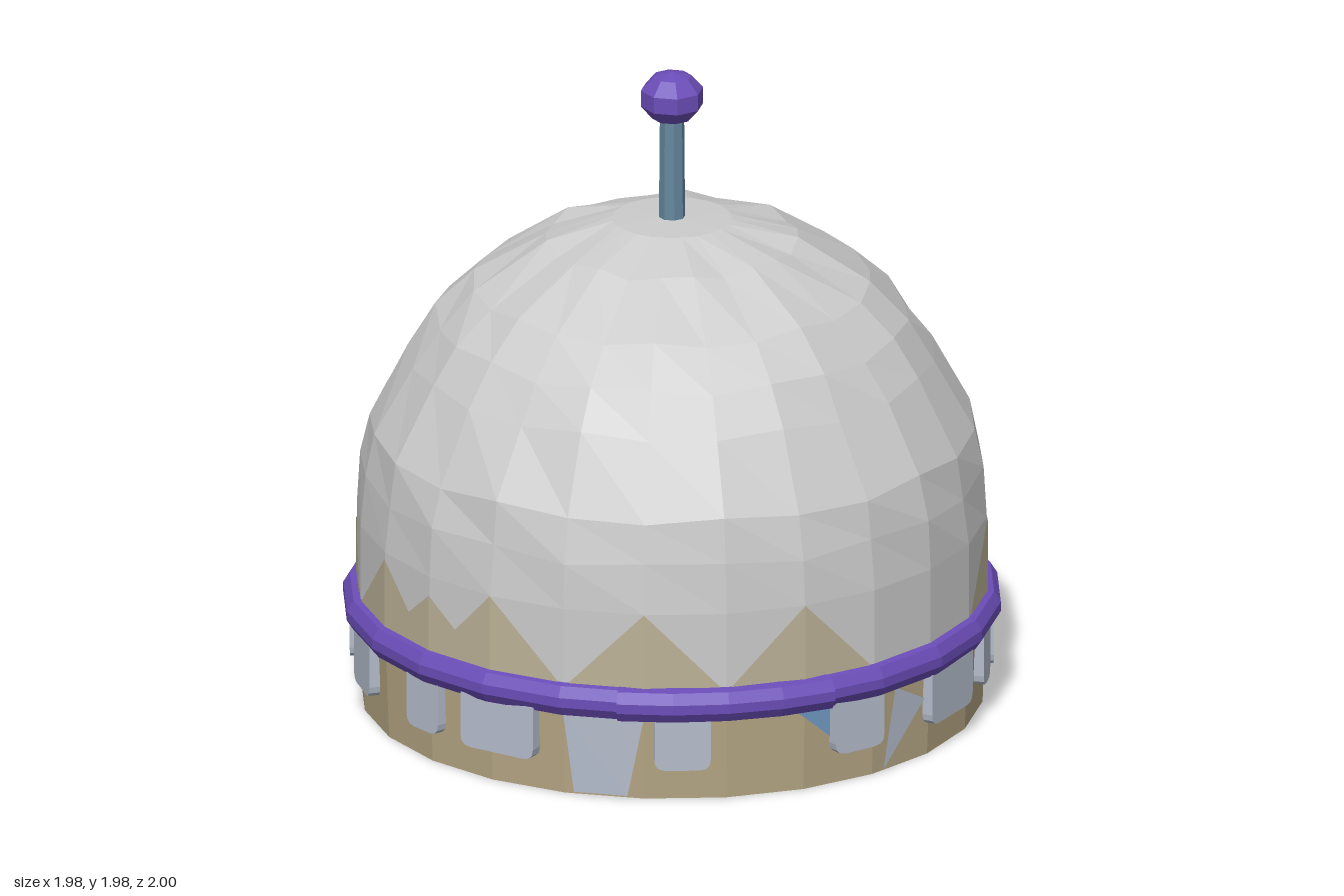
import * as THREE from 'three';

const mat = (color) => new THREE.MeshStandardMaterial({ color, flatShading: true, side: THREE.DoubleSide });
const rad = THREE.MathUtils.degToRad;
const SIDES = 24;
const WALL = 0.948;

// point on the wall: angle from the front (+z) towards +x
const onWall = (deg, y, r) => [r * Math.sin(rad(deg)), y, r * Math.cos(rad(deg))];

function lathe(points, segments = SIDES, start = 0, length = Math.PI * 2) {
  return new THREE.LatheGeometry(points.map(([r, y]) => new THREE.Vector2(r, y)), segments, start, length);
}

// flat coloured patches lying just outside the wall
function patch(triangles) {
  const g = new THREE.BufferGeometry();
  g.setAttribute('position', new THREE.Float32BufferAttribute(triangles.flat(2), 3));
  g.computeVertexNormals();
  return g;
}

// slab with rounded lower corners
function windowGeometry(w) {
  const h = 0.17, c = 0.035, s = new THREE.Shape();
  s.moveTo(-w / 2, h);
  s.lineTo(-w / 2, c);
  s.quadraticCurveTo(-w / 2, 0, -w / 2 + c, 0);
  s.lineTo(w / 2 - c, 0);
  s.quadraticCurveTo(w / 2, 0, w / 2, c);
  s.lineTo(w / 2, h);
  s.closePath();
  return new THREE.ExtrudeGeometry(s, { depth: 0.05, bevelEnabled: false, curveSegments: 3 });
}

export function createModel() {
  const model = new THREE.Group();
  const tan = mat(0xb5a684), purple = mat(0x6b4db8), pale = mat(0xb4bccb);
  const add = (name, geometry, material, parent = model) => {
    const mesh = new THREE.Mesh(geometry, material);
    mesh.name = name;
    parent.add(mesh);
    return mesh;
  };

  // hollow base with a recessed floor
  add('base', lathe([[0, 0.25], [0.88, 0.25], [0.895, 0.03], [0.905, 0.01], [0.935, 0.01], [WALL, 0.34]]), tan);

  // faceted dome, slightly uneven above its straight foot
  const dome = lathe([[WALL, 0.32], [WALL, 0.6], [0.935, 0.75], [0.91, 0.88], [0.79, 1.1], [0.71, 1.22],
    [0.6, 1.33], [0.38, 1.465], [0.18, 1.525], [0, 1.53]]);
  const p = dome.attributes.position;
  for (let i = 0; i < p.count; i++) {
    const y = p.getY(i), a = Math.round(Math.atan2(p.getX(i), p.getZ(i)) / rad(15)) % 24;
    if (y < 0.7 || y > 1.5) continue;
    const k = 1 + 0.006 * Math.sin(a * 2.6 + y * 17);
    p.setXYZ(i, p.getX(i) * k, y + 0.012 * Math.sin(a * 4.1 + y * 9), p.getZ(i) * k);
  }
  add('dome', dome, mat(0xcccccc));

  // tan stains rising from the band, one facet wide on each side of the peak
  const stains = [[-60, 0.54], [-45, 0.6], [-15, 0.6], [15, 0.6], [75, 0.6], [90, 0.6], [120, 0.54],
    [150, 0.55], [180, 0.52], [240, 0.6], [255, 0.54], [285, 0.58]];
  const R = WALL + 0.003;
  add('domeStains', patch(stains.flatMap(([a, top]) => [
    [onWall(a - 15, 0.35, R), onWall(a, 0.35, R), onWall(a, top, R)],
    [onWall(a, 0.35, R), onWall(a + 15, 0.35, R), onWall(a, top, R)],
  ])), mat(0xbdb298));

  // band round the foot of the dome, thicker at front and back
  const bandProfile = (r) => [[0.94, 0.265], [r - 0.02, 0.27], [r, 0.3], [r, 0.33], [r - 0.02, 0.362], [0.94, 0.368]];
  add('band', lathe(bandProfile(0.99)), purple);
  for (const [name, a] of [['frontBandPlate', 0], ['backBandPlate', 180]]) {
    add(name, lathe(bandProfile(1), 4, rad(a - 19.5), rad(39)), purple);
  }

  // windows hanging below the band: angle and width
  const windows = new THREE.Group();
  windows.name = 'windows';
  model.add(windows);
  const places = [[-8, 0.17], [26, 0.18], [51, 0.25], [69, 0.1], [82, 0.16], [100, 0.2], [118, 0.13], [134, 0.14],
    [155, 0.17], [178, 0.17], [198, 0.16], [216, 0.16], [234, 0.25], [254, 0.17], [275, 0.18], [299, 0.15], [317, 0.26]];
  for (const [a, w] of places) {
    const pane = add('window', windowGeometry(w), pale, windows);
    pane.position.set(...onWall(a, 0.11, 0.913));
    pane.rotation.y = rad(a);
  }

  // painted patches on the base wall
  const B = 0.95;
  add('palePatch', patch([
    [onWall(-30, 0.27, B), onWall(-28, 0.02, B - 0.004), onWall(-18, 0.02, B - 0.004)],
    [onWall(-30, 0.27, B), onWall(-18, 0.02, B - 0.004), onWall(-15, 0.27, B)],
    [onWall(32, 0.02, B), onWall(43, 0.2, B), onWall(35, 0.27, B)],
  ]), pale);
  add('bluePatches', patch([
    [onWall(20, 0.17, B), onWall(20, 0.27, B), onWall(13, 0.27, B)],
    [onWall(79, 0.12, B), onWall(82, 0.27, B), onWall(75, 0.27, B)],
  ]), mat(0x6f97c0));

  // antenna
  add('antennaRod', new THREE.CylinderGeometry(0.037, 0.04, 0.34, 8).translate(0, 1.68, 0), mat(0x66889f));
  add('antennaKnob', new THREE.SphereGeometry(0.1, 8, 5).scale(1, 0.82, 1).translate(0, 1.91, 0), purple);
  return model;
}
